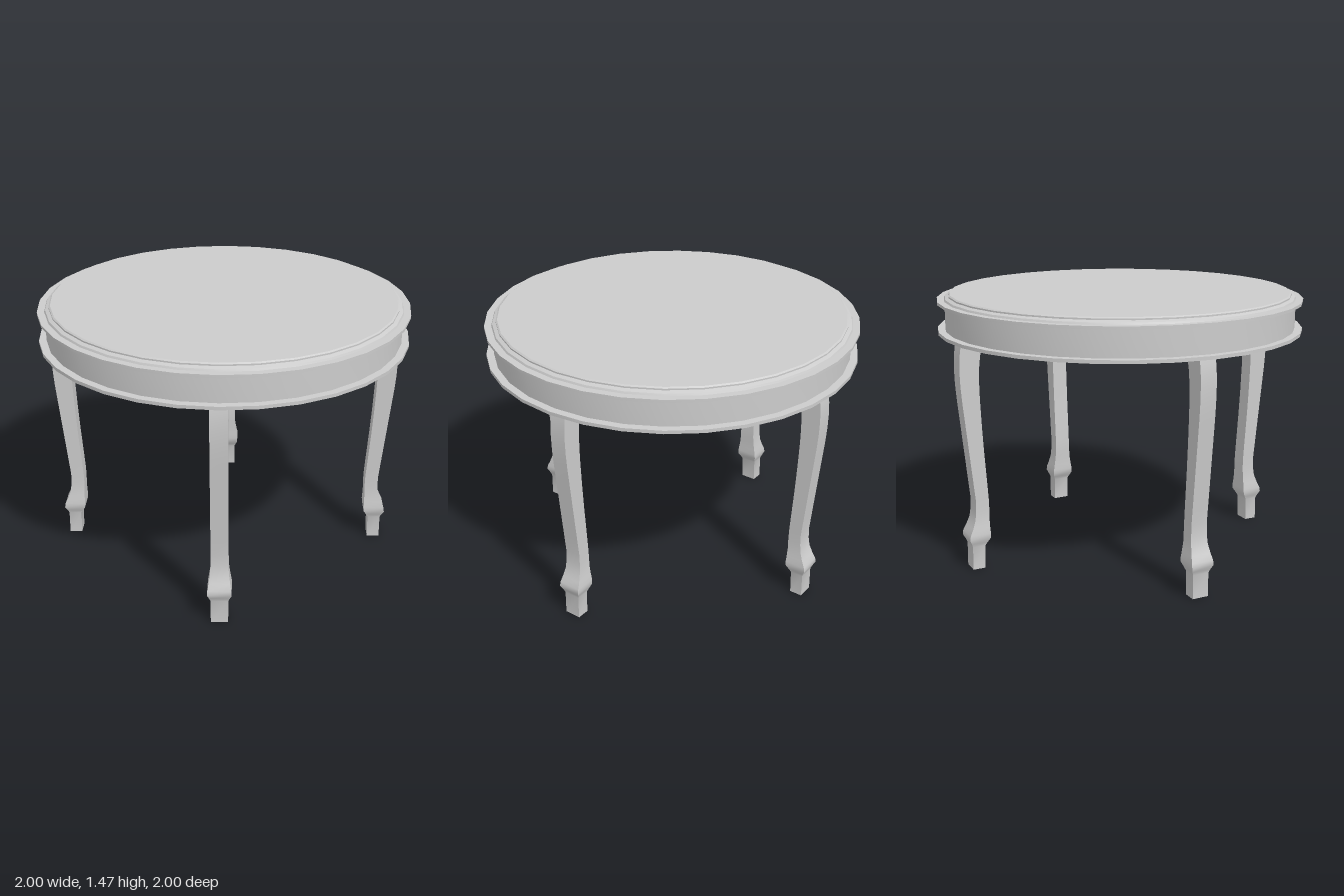
import * as THREE from 'three';
import { toCreasedNormals } from 'three/addons/utils/BufferGeometryUtils.js';

const material = new THREE.MeshStandardMaterial({ color: 0xcccccc });

// Round part turned from a [radius, height] profile, crisp at the edges
function turned(name, profile) {
  const points = profile.map(([r, y]) => new THREE.Vector2(r, y));
  const mesh = new THREE.Mesh(toCreasedNormals(new THREE.LatheGeometry(points, 32), 0.4), material);
  mesh.name = name;
  return mesh;
}

// Curved leg: rectangular sections [height, inner, outer, half width], bottom to top
const legSections = [
  [0, 0.846, 0.915, 0.045],
  [0.13, 0.843, 0.914, 0.045],
  [0.15, 0.832, 0.921, 0.053],
  [0.175, 0.817, 0.934, 0.063],
  [0.2, 0.815, 0.93, 0.062],
  [0.235, 0.816, 0.913, 0.056],
  [0.28, 0.816, 0.896, 0.049],
  [0.33, 0.814, 0.889, 0.046],
  [0.39, 0.815, 0.888, 0.045],
  [0.5, 0.822, 0.899, 0.045],
  [0.65, 0.832, 0.914, 0.045],
  [0.8, 0.84, 0.929, 0.045],
  [0.95, 0.846, 0.944, 0.045],
  [1.03, 0.847, 0.95, 0.045],
  [1.11, 0.845, 0.952, 0.045],
  [1.18, 0.837, 0.949, 0.045],
  [1.23, 0.824, 0.942, 0.045],
  [1.27, 0.81, 0.934, 0.045],
];

function legGeometry() {
  const positions = [], index = [];
  for (const [y, inner, outer, w] of legSections) {
    positions.push(inner, y, w, outer, y, w, outer, y, -w, inner, y, -w);
  }
  const last = (legSections.length - 1) * 4;
  for (let base = 0; base < last; base += 4) {
    for (let k = 0; k < 4; k++) {
      const a = base + k, b = base + (k + 1) % 4;
      index.push(a, b, b + 4, a, b + 4, a + 4);
    }
  }
  index.push(0, 2, 1, 0, 3, 2); // sole
  index.push(last, last + 1, last + 2, last, last + 2, last + 3); // upper end
  const geometry = new THREE.BufferGeometry();
  geometry.setAttribute('position', new THREE.Float32BufferAttribute(positions, 3));
  geometry.setIndex(index);
  return toCreasedNormals(geometry, 0.8);
}

export function createModel() {
  const table = new THREE.Group();
  table.name = 'roundTable';

  // Top: lower rim, apron, upper rim and stepped table top
  table.add(
    turned('lowerRim', [[0, 1.26], [1, 1.26], [1, 1.278], [0.96, 1.278]]),
    turned('apron', [[0.96, 1.278], [0.96, 1.422]]),
    turned('upperRim', [[0.96, 1.422], [1, 1.422], [1, 1.438], [0.96, 1.438]]),
    turned('tableTop', [[0.962, 1.438], [0.957, 1.448], [0.938, 1.456], [0.938, 1.464], [0.93, 1.47], [0, 1.47]]),
  );

  // Four legs, at the front, back, left and right
  const geometry = legGeometry();
  ['leftLeg', 'backLeg', 'rightLeg', 'frontLeg'].forEach((name, i) => {
    const leg = new THREE.Mesh(geometry, material);
    leg.name = name;
    leg.rotation.y = i * Math.PI / 2;
    table.add(leg);
  });
  return table;
}
